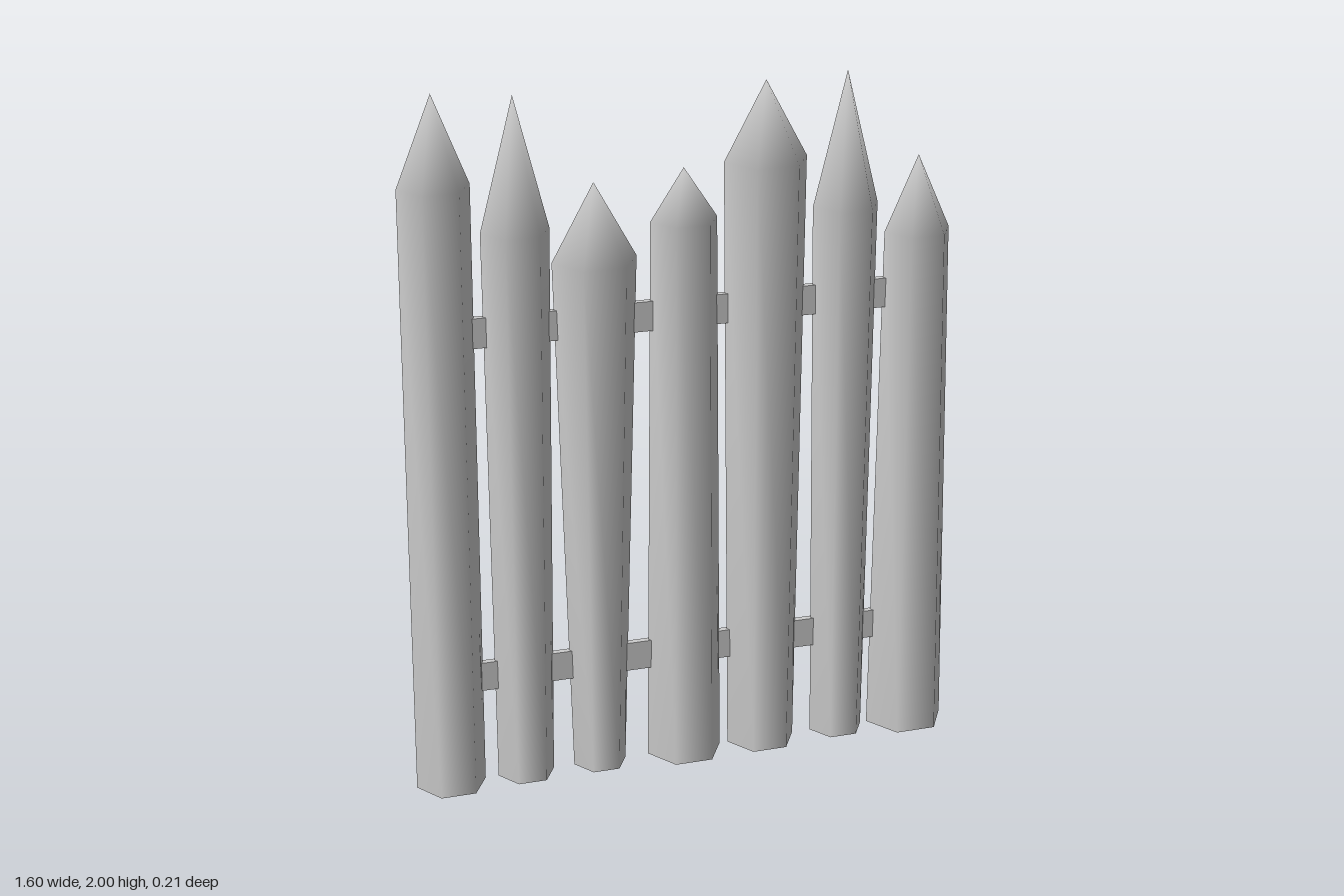
import * as THREE from 'three';
import { mergeVertices } from 'three/addons/utils/BufferGeometryUtils.js';

// Six-sided stake, open underneath, smooth-shaded up to a shared tip
function stakeGeometry(bottomR, topR, shoulderY, tipY) {
  const profile = [
    new THREE.Vector2(bottomR, 0),
    new THREE.Vector2(topR, shoulderY),
    new THREE.Vector2(0, tipY),
  ];
  let geometry = new THREE.LatheGeometry(profile, 6, Math.PI / 2);
  geometry.deleteAttribute('normal');
  geometry.deleteAttribute('uv');
  geometry = mergeVertices(geometry, 1e-4);
  geometry.computeVertexNormals();
  return geometry;
}

export function createModel() {
  const group = new THREE.Group();
  group.name = 'palisadeFence';
  const grey = new THREE.MeshStandardMaterial({ color: 0xcccccc, side: THREE.DoubleSide });
  grey.name = 'light grey';

  // Stakes: centre x, bottom radius, shoulder radius, shoulder height, tip height
  const stakes = [
    [-0.7, 0.1, 0.1, 1.75, 2.0],
    [-0.48, 0.082, 0.096, 1.61, 1.98],
    [-0.26, 0.077, 0.12, 1.51, 1.725],
    [-0.005, 0.11, 0.096, 1.6, 1.745],
    [0.23, 0.101, 0.12, 1.75, 1.97],
    [0.466, 0.08, 0.096, 1.6, 1.98],
    [0.682, 0.117, 0.097, 1.51, 1.725],
  ];
  stakes.forEach(([x, ...size], i) => {
    const stake = new THREE.Mesh(stakeGeometry(...size), grey);
    stake.name = `stake${i + 1}`;
    stake.position.x = x;
    group.add(stake);
  });

  // Two thin rails threaded through the stakes
  [['lowerRail', 0.32], ['upperRail', 1.335]].forEach(([name, y]) => {
    const rail = new THREE.Mesh(new THREE.BoxGeometry(1.36, 0.085, 0.02), grey);
    rail.name = name;
    rail.position.set(-0.01, y, 0);
    group.add(rail);
  });

  return group;
}
